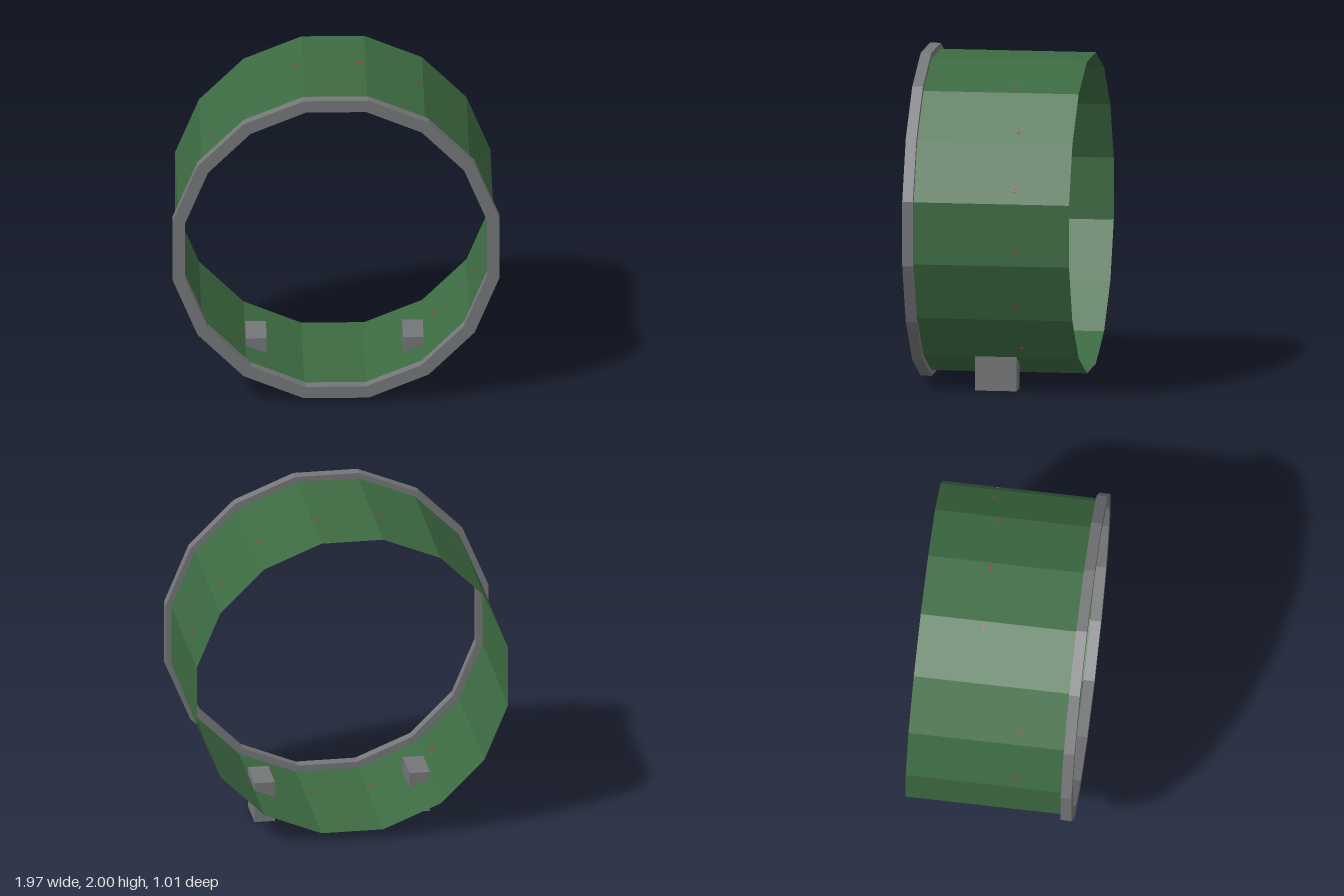
import * as THREE from 'three';

const SIDES = 16, STEP = Math.PI * 2 / SIDES, CENTRE_Y = 1.015;

// regular polygon with flat sides facing the axes, given its apothem
function polygon(apothem) {
  const r = apothem / Math.cos(STEP / 2), pts = [];
  for (let i = 0; i < SIDES; i++) {
    const a = (i + 0.5) * STEP;
    pts.push(new THREE.Vector2(Math.cos(a) * r, Math.sin(a) * r));
  }
  return pts;
}

export function createModel() {
  const green = new THREE.MeshStandardMaterial({ color: 0x3d6b42, flatShading: true, side: THREE.DoubleSide });
  green.name = 'green shell';
  const grey = new THREE.MeshStandardMaterial({ color: 0x757678, flatShading: true });
  grey.name = 'grey metal';
  const red = new THREE.MeshStandardMaterial({ color: 0xa83a3a });
  red.name = 'red mark';

  const model = new THREE.Group();
  const add = (parent, name, geometry, material, x, y, z) => {
    const mesh = new THREE.Mesh(geometry, material);
    mesh.name = name;
    mesh.position.set(x, y, z);
    parent.add(mesh);
    return mesh;
  };

  // thin open barrel along z
  const shellR = 0.95 / Math.cos(STEP / 2);
  const shell = new THREE.CylinderGeometry(shellR, shellR, 0.945, SIDES, 1, true);
  shell.rotateY(STEP / 2).rotateX(Math.PI / 2);
  add(model, 'shell', shell, green, 0, CENTRE_Y, -0.0325);

  // front rim
  const ring = new THREE.Shape(polygon(0.985));
  ring.holes.push(new THREE.Path(polygon(0.91).reverse()));
  const rim = new THREE.ExtrudeGeometry(ring, { depth: 0.065, bevelEnabled: false });
  add(model, 'frontRim', rim, grey, 0, CENTRE_Y, 0.44);

  // feet
  for (const s of [1, -1]) {
    add(model, s > 0 ? 'leftFoot' : 'rightFoot', new THREE.BoxGeometry(0.125, 0.255, 0.25), grey, s * 0.473, 0.1275, 0);
  }

  // small marks, one per facet, visible inside and outside
  const marks = new THREE.Group();
  marks.name = 'marks';
  marks.position.y = CENTRE_Y;
  model.add(marks);
  const plate = new THREE.BoxGeometry(0.006, 0.032, 0.012);
  const addMark = (facet, shift, z) => {
    const a = facet * STEP;
    const mark = add(marks, 'mark', plate, red,
      0.95 * Math.cos(a) - shift * Math.sin(a), 0.95 * Math.sin(a) + shift * Math.cos(a), z);
    mark.rotation.z = a;
  };
  for (let k = -2; k <= 2; k++) {
    addMark(k, -0.1, -0.17);
    addMark(8 - k, 0.1, 0.17);
  }
  for (let k = 3; k <= 5; k++) {
    addMark(k, -0.15, -0.12);
    addMark(-k, 0.15, 0.12);
  }
  return model;
}
